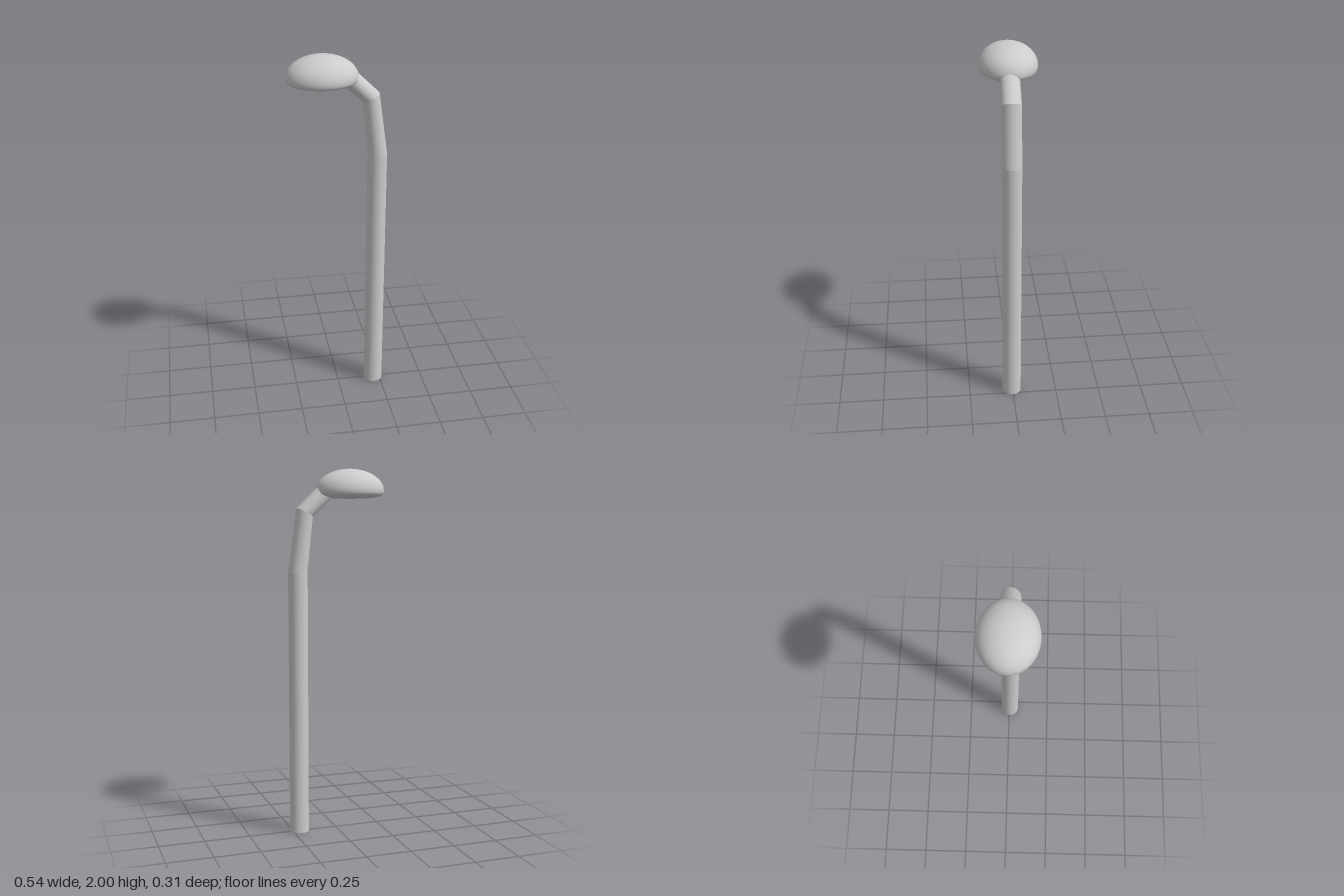
import * as THREE from 'three';
import { mergeVertices } from 'three/addons/utils/BufferGeometryUtils.js';

const material = new THREE.MeshStandardMaterial({ color: 0xcccccc });
const SIDES = 32;
const RADIUS = 0.053;
const POLE_X = 0.212;
const POLE_Z = 0.005;

// Mitred rings along the pole: centre (x, y) and half-width vector (dx, dy)
const rings = [
  { x: POLE_X, y: 0, dx: 0.053, dy: 0 },
  { x: POLE_X, y: 1.45, dx: 0.053, dy: -0.004 },
  { x: 0.173, y: 1.765, dx: 0.044, dy: 0.024 },
  { x: 0.045, y: 1.887, dx: 0.034, dy: 0.035 },
];

// Straight tube between two tilted rings, with smooth sides
function tubeBetween(a, b) {
  let geo = new THREE.CylinderGeometry(1, 1, 1, SIDES, 1, true);
  geo.deleteAttribute('uv');
  geo = mergeVertices(geo);
  const p = geo.attributes.position;
  for (let i = 0; i < p.count; i++) {
    const r = p.getY(i) < 0 ? a : b;
    const s = p.getX(i);
    p.setXYZ(i, r.x + s * r.dx, r.y + s * r.dy, POLE_Z + p.getZ(i) * RADIUS);
  }
  geo.computeVertexNormals();
  return geo;
}

function add(group, name, geometry) {
  const mesh = new THREE.Mesh(geometry, material);
  mesh.name = name;
  group.add(mesh);
  return mesh;
}

export function createModel() {
  const group = new THREE.Group();
  group.name = 'streetLamp';

  // Pole, bent neck and arm
  ['pole', 'neck', 'arm'].forEach((name, i) => {
    add(group, name, tubeBetween(rings[i], rings[i + 1]));
  });

  // Flat foot of the pole
  const foot = add(group, 'poleFoot', new THREE.CircleGeometry(RADIUS, SIDES));
  foot.rotation.x = Math.PI / 2;
  foot.position.set(POLE_X, 0, POLE_Z);

  // Lamp head: shallow underside, rounded rim, domed top
  const profile = [
    [0, 0], [0.3, 0.001], [0.6, 0.004], [0.8, 0.009],
    [0.91, 0.015], [0.965, 0.022], [0.99, 0.031],
  ].map(([r, y]) => new THREE.Vector2(r, y));
  const steps = 18;
  for (let i = 0; i <= steps; i++) {
    const t = (i / steps) * Math.PI / 2;
    profile.push(new THREE.Vector2(i === steps ? 0 : Math.cos(t), 0.042 + 0.118 * Math.sin(t)));
  }
  const headGeo = new THREE.LatheGeometry(profile, 48);
  headGeo.scale(0.189, 1, 0.155);
  add(group, 'lampHead', headGeo).position.set(-0.083, 1.84, 0);

  return group;
}
